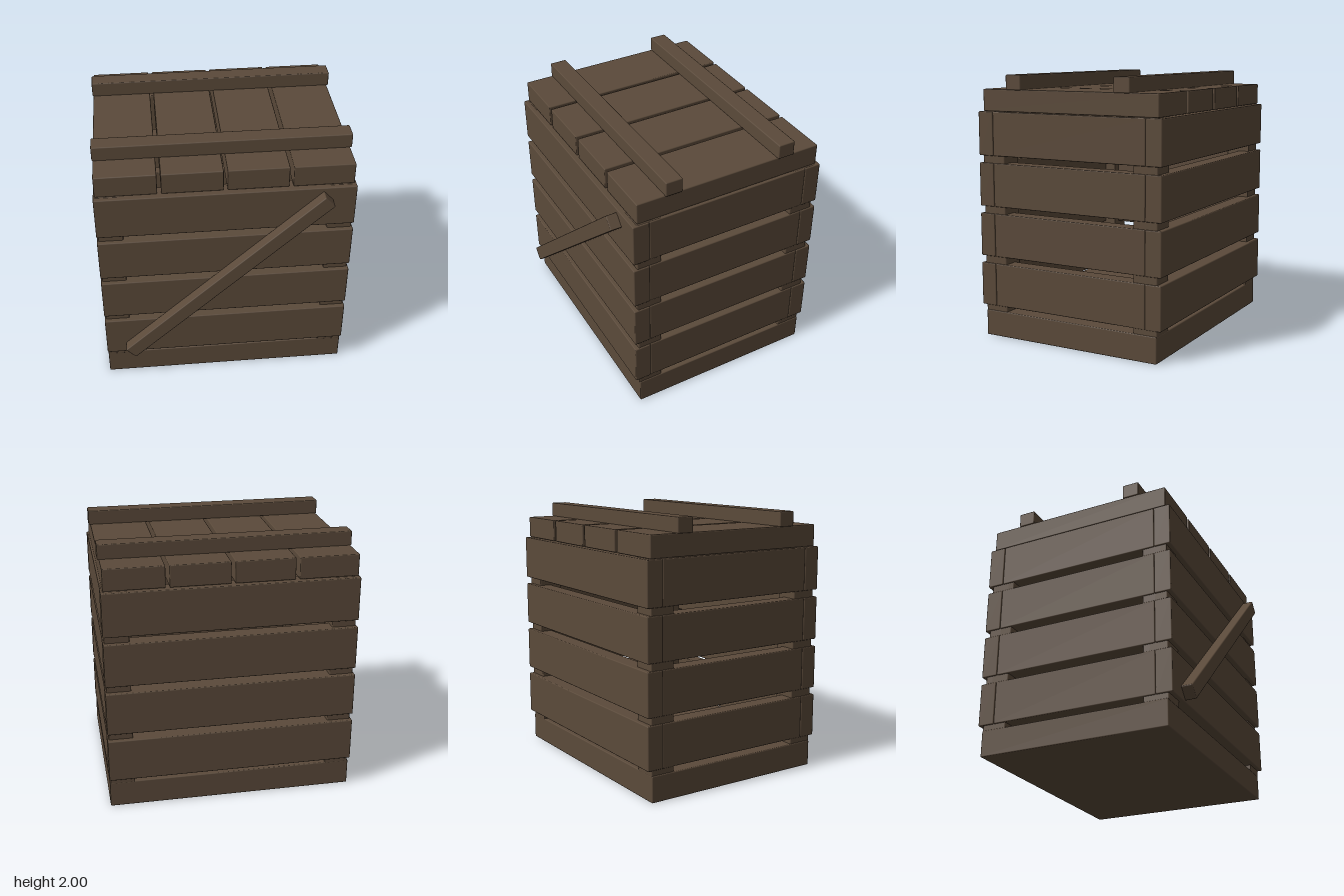
import * as THREE from 'three';
import { RoundedBoxGeometry } from 'three/addons/geometries/RoundedBoxGeometry.js';

export function createModel() {
  const crate = new THREE.Group();
  crate.name = 'crate';
  const wood = new THREE.MeshStandardMaterial({ color: 0x5b4a3a });
  wood.name = 'brown wood';

  // A board with lightly eased edges, given by its extents on each axis
  function board(name, [x0, x1], [y0, y1], [z0, z1], parent = crate) {
    const geometry = new RoundedBoxGeometry(x1 - x0, y1 - y0, z1 - z0, 1, 0.008);
    const mesh = new THREE.Mesh(geometry, wood);
    mesh.name = name;
    mesh.position.set((x0 + x1) / 2, (y0 + y1) / 2, (z0 + z1) / 2);
    parent.add(mesh);
    return mesh;
  }

  // Solid base
  board('base', [-0.932, 0.932], [0, 0.2], [-0.775, 0.692]);

  // Corner posts, set just inside the slat faces
  for (const x of [[-0.925, -0.745], [0.745, 0.925]]) {
    for (const z of [[-0.775, -0.585], [0.505, 0.695]]) {
      board('cornerPost', x, [0.19, 1.728], z);
    }
  }

  // Four rows of slats around the open body
  for (let i = 0; i < 4; i++) {
    const y = [0.24 + i * 0.385, 0.57 + i * 0.385];
    const row = new THREE.Group();
    row.name = 'slatRow' + (i + 1);
    crate.add(row);
    board('frontSlat', [-0.935, 0.935], y, [0.6, 0.728], row);
    board('backSlat', [-0.935, 0.935], y, [-0.81, -0.682], row);
    board('leftSlat', [0.805, 0.933], y, [-0.682, 0.6], row);
    board('rightSlat', [-0.933, -0.805], y, [-0.682, 0.6], row);
  }

  // Lid: four planks held by two battens
  const lid = new THREE.Group();
  lid.name = 'lid';
  crate.add(lid);
  for (let i = 0; i < 4; i++) {
    const x = -0.925 + i * 0.468;
    board('lidPlank', [x, x + 0.44], [1.728, 1.892], [-0.778, 0.69], lid);
  }
  for (const z of [[-0.56, -0.43], [0.345, 0.475]]) {
    board('lidBatten', [-0.932, 0.932], [1.888, 2], z, lid);
  }

  // Diagonal brace on the front
  const brace = board('diagonalBrace', [-1.008, 1.008], [-0.055, 0.055], [0.722, 0.81]);
  brace.position.set(-0.01, 0.975, 0.766);
  brace.rotation.z = 0.745;

  return crate;
}
